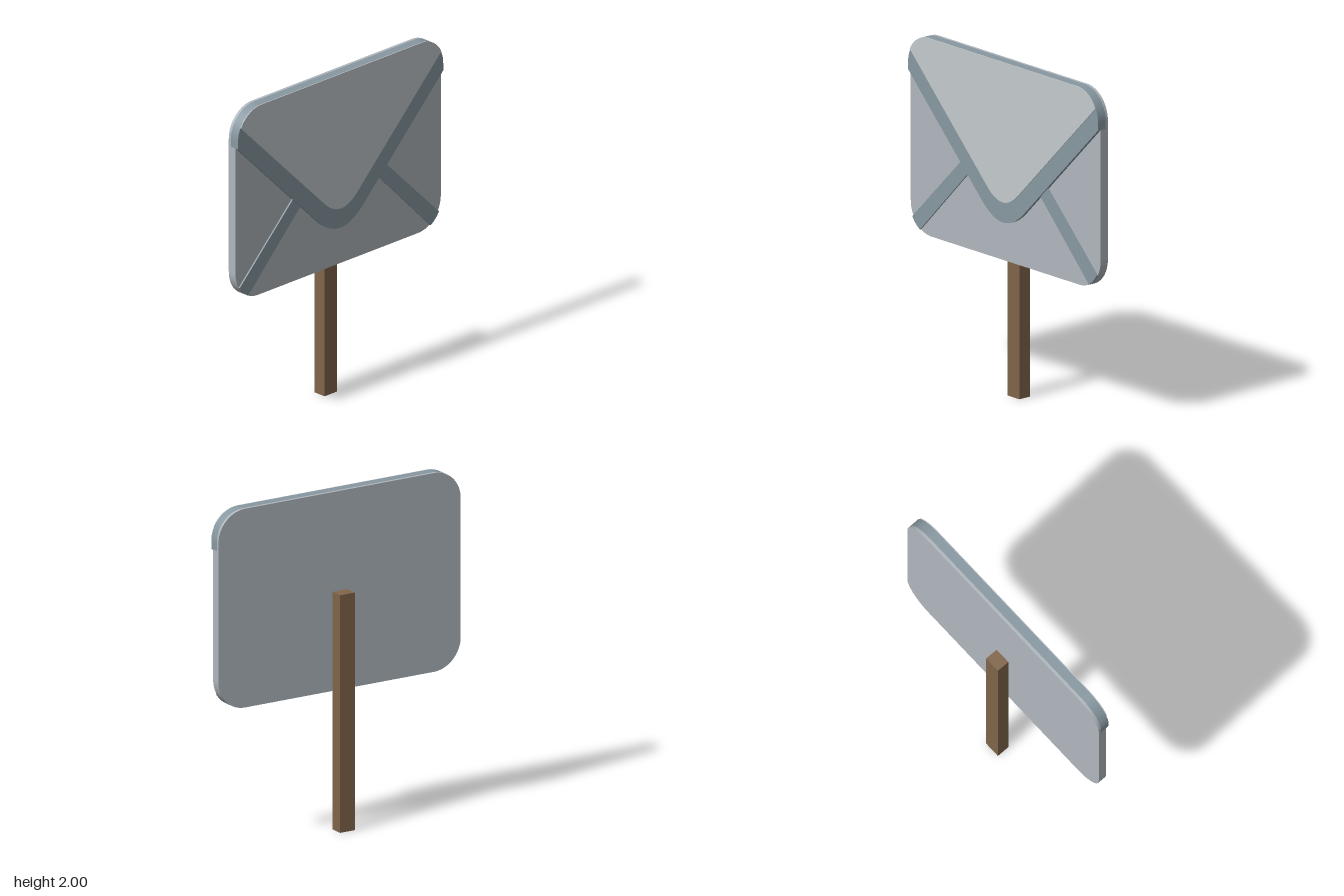
import * as THREE from 'three';

const W = 0.815, BOTTOM = 0.82, TOP = 2, R = 0.18;
const CX = W - R, CT = TOP - R, CB = BOTTOM + R;
const SIDE_Y = 1.775; // where the flap border meets the side edges

const COLORS = { panel: 0xb0b7bd, flap: 0xc4cacd, trim: 0x8898a1, wood: 0x80654a };
const material = (key) => new THREE.MeshStandardMaterial({ color: COLORS[key] });

// Extrudes a shape between two depths
function slab(name, shape, z0, z1, key) {
  const geometry = new THREE.ExtrudeGeometry(shape, {
    depth: z1 - z0, bevelEnabled: false, curveSegments: 12,
  });
  geometry.translate(0, 0, z0);
  const mesh = new THREE.Mesh(geometry, material(key));
  mesh.name = name;
  return mesh;
}

// Bottom half of the rounded outline, from the left side round to the right
function lowerOutline(s) {
  s.lineTo(-W, CB);
  s.absarc(-CX, CB, R, Math.PI, Math.PI * 1.5, false);
  s.lineTo(CX, BOTTOM);
  s.absarc(CX, CB, R, -Math.PI / 2, 0, false);
  return s;
}

// Top half of the rounded outline, between two angles on the corner arcs
function upperOutline(s, angle) {
  s.absarc(CX, CT, R, angle, Math.PI / 2, false);
  s.lineTo(-CX, TOP);
  s.absarc(-CX, CT, R, Math.PI / 2, Math.PI - angle, false);
  return s;
}

export function createModel() {
  const group = new THREE.Group();
  group.name = 'envelopeSign';

  // Backing plate with rounded corners
  const back = new THREE.Shape();
  back.moveTo(-W, CT);
  upperOutline(lowerOutline(back), 0);
  group.add(slab('backPlate', back, 0.003, 0.02, 'panel'));

  // Envelope body below the flap
  const body = new THREE.Shape();
  body.moveTo(-W, SIDE_Y);
  lowerOutline(body);
  body.lineTo(W, SIDE_Y);
  body.lineTo(0.18, 1.14);
  body.quadraticCurveTo(0, 0.96, -0.18, 1.14);
  group.add(slab('envelopeBody', body, 0.02, 0.058, 'panel'));

  // Dark flap layer, showing as a border around the flap
  const border = new THREE.Shape();
  border.moveTo(-W, SIDE_Y);
  border.lineTo(-0.18, 1.14);
  border.quadraticCurveTo(0, 0.96, 0.18, 1.14);
  border.lineTo(W, SIDE_Y);
  upperOutline(border, 0);
  group.add(slab('flapBorder', border, 0.02, 0.078, 'trim'));

  // Light flap face
  const a = Math.PI * 0.148;
  const flap = new THREE.Shape();
  flap.moveTo(-CX - R * Math.cos(a), CT + R * Math.sin(a));
  flap.lineTo(-0.13, 1.235);
  flap.quadraticCurveTo(0, 1.105, 0.13, 1.235);
  upperOutline(flap, a);
  group.add(slab('flap', flap, 0.078, 0.083, 'flap'));

  // Diagonal seams running to the bottom corners
  for (const side of [-1, 1]) {
    const ends = [];
    for (let i = 0; i <= 6; i++) {
      const t = -Math.PI / 3 + (i / 6) * Math.PI / 6;
      ends.push(new THREE.Vector2(side * (CX + R * Math.cos(t)), CB + R * Math.sin(t)));
    }
    const seam = new THREE.Shape([
      new THREE.Vector2(side * 0.37, 1.33),
      new THREE.Vector2(side * 0.31, 1.27),
      ...ends,
    ]);
    group.add(slab(side > 0 ? 'leftSeam' : 'rightSeam', seam, 0.058, 0.068, 'trim'));
  }

  // Wooden post behind the sign
  const post = new THREE.Mesh(new THREE.BoxGeometry(0.1, 1.41, 0.08), material('wood'));
  post.name = 'post';
  post.position.set(0, 0.705, -0.041);
  group.add(post);

  return group;
}
